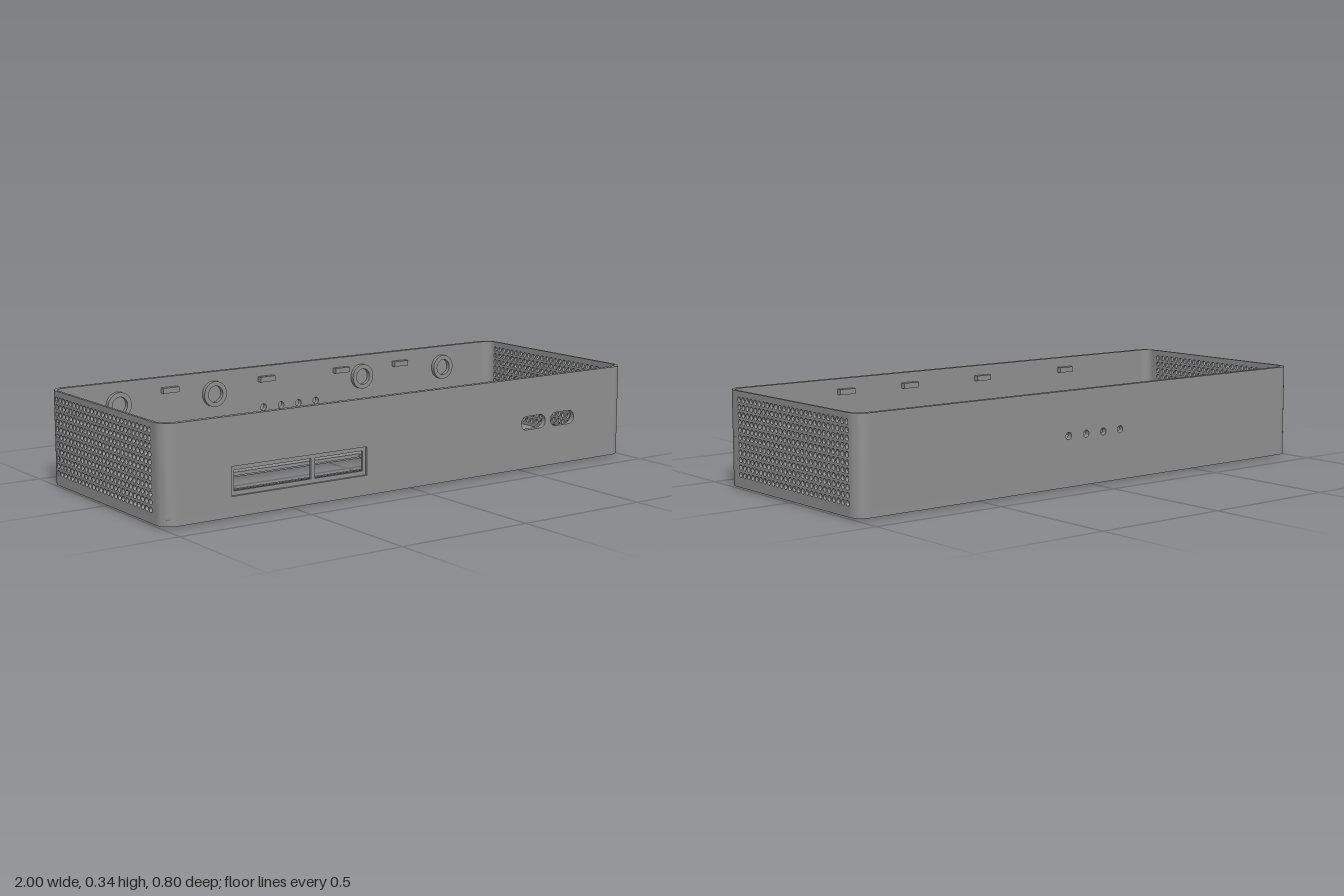
import * as THREE from 'three';
import { toCreasedNormals } from 'three/addons/utils/BufferGeometryUtils.js';

const BASE = 0.005, FLOOR = 0.028, TOP = 0.343; // heights of underside, inner floor and rim
const R = 0.05; // outer corner radius

// Rounded rectangle outline between two corners (r = 0 gives a plain one)
function rect(x0, y0, x1, y1, r = 0, Type = THREE.Path) {
  const p = new Type();
  if (r === 0) {
    p.moveTo(x0, y0).lineTo(x1, y0).lineTo(x1, y1).lineTo(x0, y1).closePath();
    return p;
  }
  p.absarc(x1 - r, y0 + r, r, -Math.PI / 2, 0);
  p.absarc(x1 - r, y1 - r, r, 0, Math.PI / 2);
  p.absarc(x0 + r, y1 - r, r, Math.PI / 2, Math.PI);
  p.absarc(x0 + r, y0 + r, r, Math.PI, Math.PI * 1.5);
  p.closePath();
  return p;
}

function circle(x, y, r) {
  return new THREE.Path().absarc(x, y, r, 0, Math.PI * 2);
}

function extrude(shape, holes, depth, segments = 10) {
  shape.holes.push(...holes);
  const g = new THREE.ExtrudeGeometry(shape, { depth, bevelEnabled: false, curveSegments: segments });
  return toCreasedNormals(g, 0.6);
}

// Horizontal plate drawn in x and z
function plate(shape, holes, y0, y1, segments) {
  return extrude(shape, holes, y1 - y0, segments).rotateX(Math.PI / 2).translate(0, y1, 0);
}

export function createModel() {
  const model = new THREE.Group();
  const grey = new THREE.MeshStandardMaterial({ color: 0x909090 });
  grey.name = 'grey plastic';
  const add = (name, geometry) => {
    const mesh = new THREE.Mesh(geometry, grey);
    mesh.name = name;
    model.add(mesh);
    return mesh;
  };
  const addBox = (name, x0, x1, y0, y1, z0, z1) =>
    add(name, new THREE.BoxGeometry(x1 - x0, y1 - y0, z1 - z0)
      .translate((x0 + x1) / 2, (y0 + y1) / 2, (z0 + z1) / 2));

  // Floor in two layers, with a wider window below forming a stepped rim
  const smallHoles = () => [rect(-0.71, 0.303, -0.65, 0.345), circle(-0.735, 0.325, 0.005)];
  const outline = () => rect(-1, -0.4, 1, 0.4, R, THREE.Shape);
  add('floorUnderside', plate(outline(),
    [rect(-0.745, -0.1, 0.13, 0.17), ...smallHoles()], BASE, 0.015));
  add('floor', plate(outline(),
    [rect(-0.725, -0.08, 0.11, 0.15), ...smallHoles()], 0.015, FLOOR));

  // Round pad under the floor and the two arc ribs above it
  add('basePad', new THREE.CylinderGeometry(0.295, 0.295, BASE, 64).translate(0.455, BASE / 2, 0));
  for (const start of [0, Math.PI]) {
    const a = start + 0.24, b = start + Math.PI - 0.24;
    const arc = new THREE.Shape();
    arc.absarc(0.455, -0.003, 0.315, a, b, false);
    arc.absarc(0.455, -0.003, 0.303, b, a, true);
    arc.closePath();
    add('arcRib', plate(arc, [], FLOOR, 0.045, 40));
  }

  // Straight ribs beside the window
  addBox('backRib', -0.74, 0.05, FLOOR, 0.045, -0.148, -0.134);
  addBox('frontRib', -0.74, 0.135, FLOOR, 0.045, 0.198, 0.212);

  // Front wall: recessed display frame with two openings, and two rounded slots
  const wall = () => rect(-1 + R, FLOOR, 1 - R, TOP, 0, THREE.Shape);
  const slots = () => [0.495, 0.635].map(x => rect(x, 0.15, x + 0.115, 0.2, 0.0249));
  add('frontWallOuter', extrude(wall(),
    [rect(-0.745, 0.075, -0.2, 0.175), ...slots()], 0.01).translate(0, 0, 0.39));
  add('frontWallInner', extrude(wall(),
    [rect(-0.73, 0.09, -0.425, 0.16), rect(-0.41, 0.09, -0.212, 0.16), ...slots()], 0.01)
    .translate(0, 0, 0.38));

  // Back wall with a row of four small holes
  add('backWall', extrude(wall(),
    [-0.12, -0.04, 0.04, 0.12].map(x => circle(x, 0.185, 0.013)), 0.02).translate(0, 0, -0.4));

  // Thin perforated side walls
  const grille = [];
  for (let row = 0; row < 11; row++) {
    for (let col = -13; col <= 13; col++) {
      grille.push(circle(col * 0.0263, 0.05 + row * 0.0263, 0.0095));
    }
  }
  const side = extrude(rect(-0.4 + R, FLOOR, 0.4 - R, TOP, 0, THREE.Shape),
    grille, 0.01, 12).rotateY(Math.PI / 2);
  // Solid strips carry the panel past its outermost holes into the corners
  add('leftGrille', side.clone().translate(0.99, 0, 0));
  add('rightGrille', side.clone().translate(-1, 0, 0));

  // Rounded corner posts
  for (const sx of [-1, 1]) {
    for (const sz of [-1, 1]) {
      const post = new THREE.Shape();
      const point = (rx, rz, t) => [sx * (1 - R + rx * Math.cos(t)), sz * (0.4 - R + rz * Math.sin(t))];
      const n = 10;
      for (let i = 0; i <= n; i++) {
        const p = point(R, R, (i / n) * Math.PI / 2);
        if (i === 0) post.moveTo(...p); else post.lineTo(...p);
      }
      for (let i = n; i >= 0; i--) post.lineTo(...point(0.04, 0.03, (i / n) * Math.PI / 2));
      post.closePath();
      add('cornerPost', plate(post, [], FLOOR, TOP));
    }
  }

  // Snap tabs along the inside of the front and back walls
  for (const x of [-0.53, -0.11, 0.235, 0.52]) {
    addBox('backTab', x - 0.033, x + 0.033, 0.285, 0.305, -0.381, -0.36);
    addBox('frontTab', x - 0.033, x + 0.033, 0.285, 0.305, 0.36, 0.381);
  }

  // Ring bosses on the inside of the back wall
  for (const x of [-0.74, -0.34, 0.335, 0.735]) {
    const ring = new THREE.Shape().absarc(x, 0.26, 0.048, 0, Math.PI * 2);
    add('ringBoss', extrude(ring, [circle(x, 0.26, 0.031)], 0.017, 24).translate(0, 0, -0.381));
  }
  return model;
}
